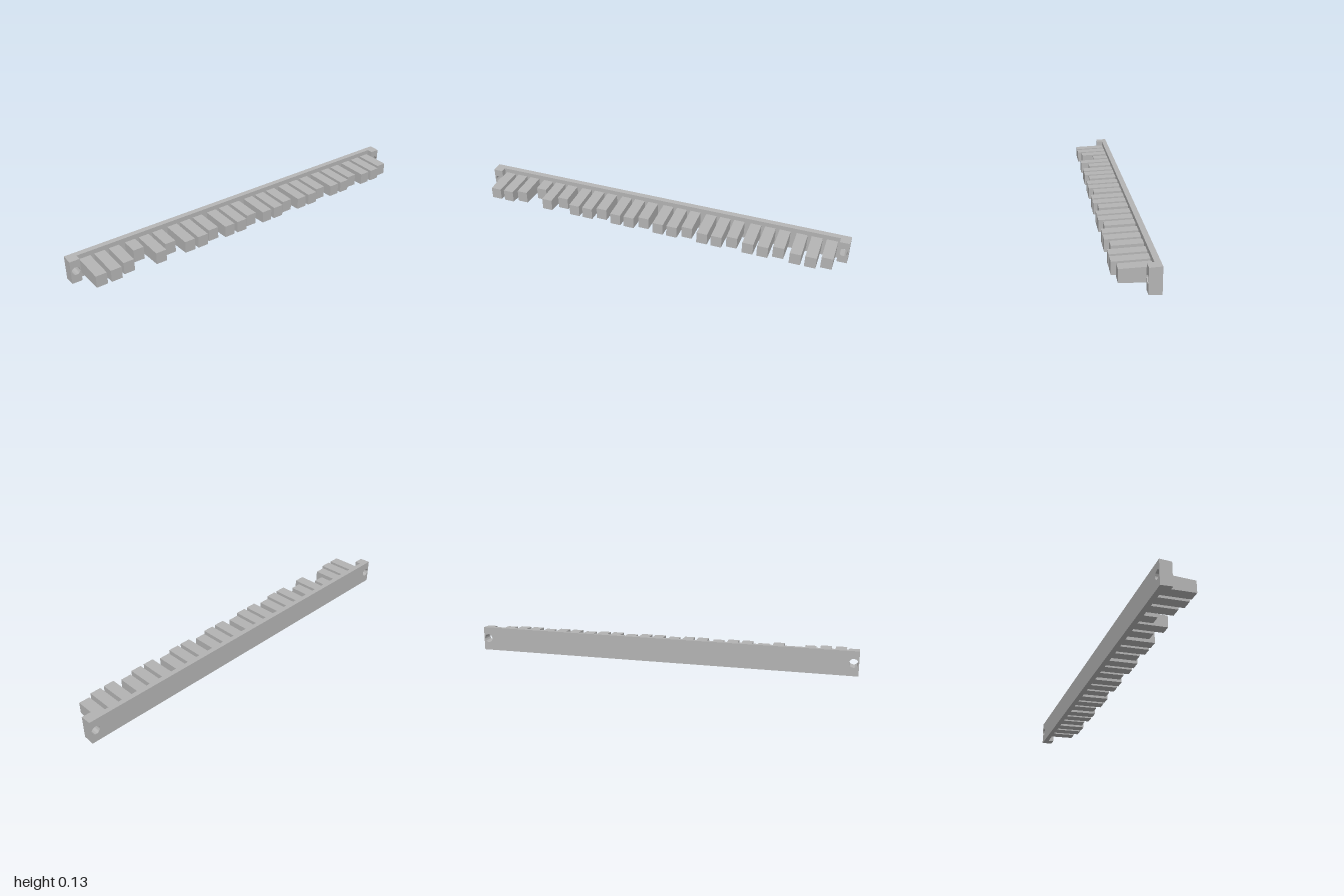
import * as THREE from 'three';
import { toCreasedNormals } from 'three/addons/utils/BufferGeometryUtils.js';

const BACK = -0.097, PLATE_FRONT = -0.07, BLOCK_FRONT = -0.039, TOOTH_FRONT = 0.097;
const BODY_Y = 0.063, TOOTH_Y = 0.0645, HOLE_X = 0.974, HOLE_R = 0.022;

// Draft: the half height shrinks linearly with z, around height cy
function draft(geometry, cy, halfHeight) {
  const p = geometry.attributes.position;
  for (let i = 0; i < p.count; i++) {
    p.setY(i, cy + Math.sign(p.getY(i) - cy) * Math.abs(p.getY(i) - cy) * halfHeight(p.getZ(i)));
  }
  return toCreasedNormals(geometry, 0.6);
}

// Rectangular slab from x0 to x1 and z0 to z1, drilled through at the given x positions
function drilledSlab(x0, x1, z0, z1, holes) {
  const h = 0.063;
  const shape = new THREE.Shape();
  shape.moveTo(x0, BODY_Y - h);
  shape.lineTo(x1, BODY_Y - h);
  shape.lineTo(x1, BODY_Y + h);
  shape.lineTo(x0, BODY_Y + h);
  shape.closePath();
  for (const x of holes) {
    shape.holes.push(new THREE.Path().absarc(x, BODY_Y + 0.002, HOLE_R, 0, Math.PI * 2, true));
  }
  const geometry = new THREE.ExtrudeGeometry(shape, { depth: z1 - z0, bevelEnabled: false, curveSegments: 24 });
  geometry.translate(0, 0, z0);
  return draft(geometry, BODY_Y, (z) => 1 - 0.9 * (z - BACK));
}

// Tooth standing out from the plate, narrowing towards its tip
function toothGeometry(front) {
  const length = front - PLATE_FRONT;
  const geometry = new THREE.BoxGeometry(0.056, 2, length);
  geometry.translate(0, TOOTH_Y, PLATE_FRONT + length / 2);
  return draft(geometry, TOOTH_Y, (z) => 0.0352 - 0.035 * (z - BLOCK_FRONT));
}

export function createModel() {
  const model = new THREE.Group();
  model.name = 'toothedStrip';
  const grey = new THREE.MeshStandardMaterial({ color: 0xb4b4b4 });
  grey.name = 'plainGrey';

  const add = (name, geometry, x = 0) => {
    const mesh = new THREE.Mesh(geometry, grey);
    mesh.name = name;
    mesh.position.x = x;
    model.add(mesh);
  };

  // Back plate with a screw hole at each end
  add('backPlate', drilledSlab(-1, 1, BACK, PLATE_FRONT, [-HOLE_X, HOLE_X]));

  // Raised mounting blocks at the ends
  add('rightEndBlock', drilledSlab(-1, -0.949, PLATE_FRONT, BLOCK_FRONT, [-HOLE_X]));
  add('leftEndBlock', drilledSlab(0.949, 1, PLATE_FRONT, BLOCK_FRONT, [HOLE_X]));

  // Eight groups of three teeth; the third of each is shorter, the second group is cut down
  for (let group = 0; group < 8; group++) {
    for (let i = 0; i < 3; i++) {
      let front = i === 2 ? 0.077 : TOOTH_FRONT;
      if (group === 1 && i === 0) front = 0.015;
      if (group === 1 && i === 2) front = 0.056;
      add('tooth' + (group * 3 + i + 1), toothGeometry(front), -0.911 + group * 0.2387 + i * 0.0757);
    }
  }
  return model;
}
